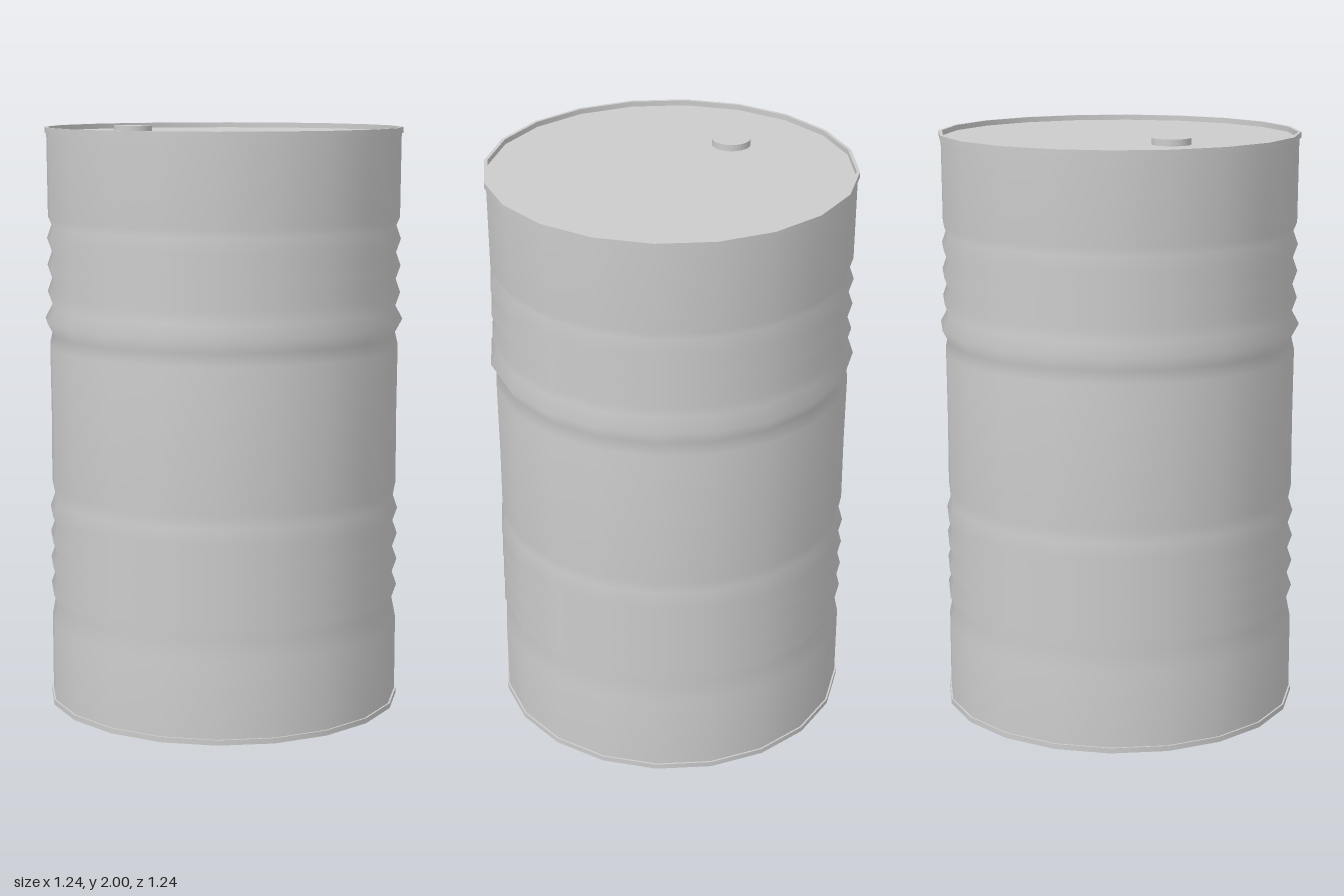
import * as THREE from 'three';

const SIDES = 20;

export function createModel() {
  const drum = new THREE.Group();
  drum.name = 'drum';
  const material = new THREE.MeshStandardMaterial({ color: 0xcccccc });

  // Lathe around y from [radius, height] pairs, listed bottom to top on the outside
  const addLathe = (name, points, sides = SIDES) => {
    const profile = points.map(([r, y]) => new THREE.Vector2(r, y));
    // a quarter turn keeps the corners on the x and z axes
    const mesh = new THREE.Mesh(new THREE.LatheGeometry(profile, sides), material);
    mesh.name = name;
    drum.add(mesh);
    return mesh;
  };

  // Four rolled ribs with valleys between them, starting at the lowest valley
  const ribs = (bottom, lowestPeak) => {
    const points = [[0.594, bottom]];
    for (let i = 0; i < 4; i++) {
      const y = bottom + i * 0.092;
      points.push([i === 0 ? lowestPeak : 0.61, y + 0.046], [0.594, y + 0.092]);
    }
    return points;
  };

  // Side wall with two groups of ribs
  addLathe('wall', [
    [0.608, 0.015], [0.608, 0.28],
    ...ribs(0.35, 0.61),
    [0.603, 0.765], [0.602, 1.0], [0.604, 1.25],
    ...ribs(1.293, 0.619),
    [0.606, 1.69], [0.608, 1.98],
  ]);

  // Rolled rims: each band is a separate strip so its edges stay sharp
  const addRim = (name, low, high, inner) => {
    const outer = 0.614;
    addLathe(name + 'Outside', [[outer, low], [outer, high]]);
    addLathe(name + 'Top', [[outer, high], [inner, high]]);
    addLathe(name + 'Underside', [[inner, low], [outer, low]]);
    addLathe(name + 'Inside', [[inner, high], [inner, low]]);
  };
  addRim('topRim', 1.976, 1.996, 0.603);
  addRim('bottomRim', 0, 0.018, 0.603);

  // Lid and base, slightly sunk inside the rims
  addLathe('lid', [[0.606, 1.978], [0, 1.978]]);
  addLathe('base', [[0, 0.01], [0.606, 0.01]]);

  // Filler cap on the lid
  const cap = new THREE.Mesh(new THREE.CylinderGeometry(0.065, 0.065, 0.024, 32), material);
  cap.name = 'fillerCap';
  cap.position.set(-0.31, 1.988, 0);
  drum.add(cap);

  return drum;
}
